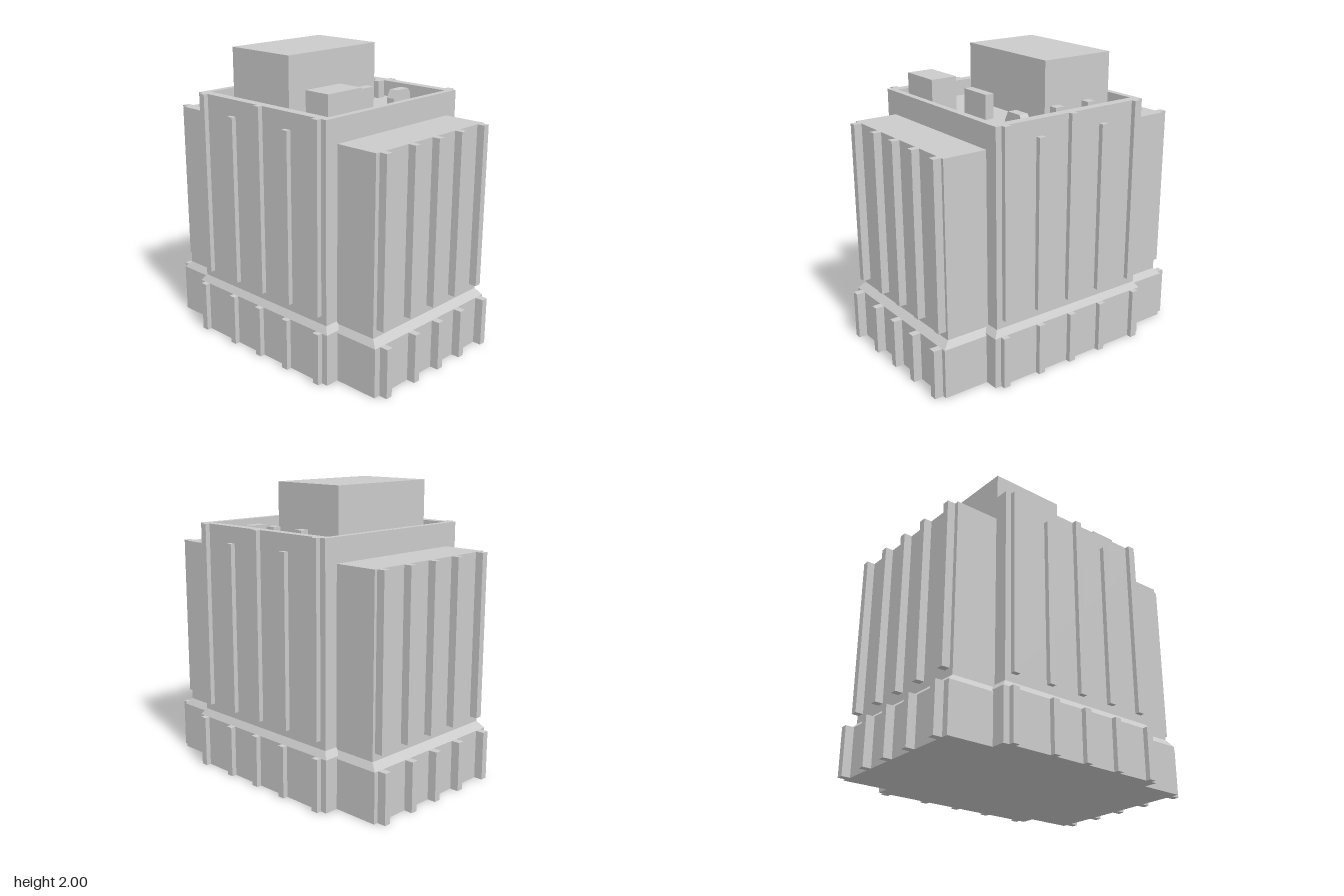
import * as THREE from 'three';

const material = new THREE.MeshStandardMaterial({ color: 0xcccccc, flatShading: true });

export function createModel() {
  const model = new THREE.Group();

  function add(name, geometry) {
    const mesh = new THREE.Mesh(geometry, material);
    mesh.name = name;
    model.add(mesh);
    return mesh;
  }

  // Box given by its limits on each axis
  function box(name, x0, x1, y0, y1, z0, z1) {
    const geo = new THREE.BoxGeometry(x1 - x0, y1 - y0, z1 - z0);
    geo.translate((x0 + x1) / 2, (y0 + y1) / 2, (z0 + z1) / 2);
    return add(name, geo);
  }

  // Centred block whose top rectangle is narrower than its bottom one
  function taper(name, x, z, topX, topZ, y0, y1) {
    const geo = new THREE.BoxGeometry(2 * x, y1 - y0, 2 * z);
    geo.translate(0, (y0 + y1) / 2, 0);
    const p = geo.attributes.position;
    for (let i = 0; i < p.count; i++) {
      if (p.getY(i) > (y0 + y1) / 2) {
        p.setX(i, Math.sign(p.getX(i)) * topX);
        p.setZ(i, Math.sign(p.getZ(i)) * topZ);
      }
    }
    geo.computeVertexNormals();
    return add(name, geo);
  }

  // Plinth: two crossing blocks, each with a sloped ledge
  box('centrePlinth', -0.625, 0.625, 0, 0.35, -0.655, 0.655);
  taper('centreLedge', 0.625, 0.655, 0.592, 0.627, 0.35, 0.395);
  box('wingPlinth', -0.94, 0.94, 0, 0.335, -0.56, 0.56);
  taper('wingLedge', 0.94, 0.56, 0.895, 0.53, 0.335, 0.38);

  // Main walls
  const roofY = 1.6, parapetY = 1.71;
  box('centreBlock', -0.592, 0.592, 0.395, roofY, -0.627, 0.627);
  for (const s of [-1, 1]) {
    const [a, b] = s < 0 ? [-0.895, -0.59] : [0.59, 0.895];
    box(s < 0 ? 'rightWing' : 'leftWing', a, b, 0.38, 1.55, -0.53, 0.53);
  }

  // Parapet around the sunken roof
  const rect = (Path, x, z) => new Path([
    new THREE.Vector2(-x, -z), new THREE.Vector2(x, -z),
    new THREE.Vector2(x, z), new THREE.Vector2(-x, z),
  ]);
  const rim = rect(THREE.Shape, 0.592, 0.627);
  rim.holes.push(rect(THREE.Path, 0.548, 0.562));
  const parapet = new THREE.ExtrudeGeometry(rim, { depth: parapetY - roofY, bevelEnabled: false });
  parapet.rotateX(-Math.PI / 2).translate(0, roofY, 0);
  add('parapet', parapet);

  // Vertical ribs on front and back
  const h = 0.024;
  [-0.525, -0.245, 0.012, 0.265, 0.525].forEach((x, i) => {
    const top = i % 2 ? 1.6 : parapetY;
    const bx = [-0.557, -0.247, 0.012, 0.272, 0.557][i];
    for (const s of [-1, 1]) {
      const span = (a, b) => (s < 0 ? [-b, -a] : [a, b]);
      box('wallRib', x - h, x + h, 0.45, top, ...span(0.6, 0.66));
      box('plinthRib', bx - h, bx + h, 0, 0.35, ...span(0.63, 0.69));
    }
  });

  // Vertical ribs on the wing ends
  [-0.485, -0.245, -0.015, 0.215, 0.475].forEach((z, i) => {
    const bz = [-0.505, -0.253, -0.02, 0.22, 0.49][i];
    for (const s of [-1, 1]) {
      const span = (a, b) => (s < 0 ? [-b, -a] : [a, b]);
      box('wingRib', ...span(0.87, 0.95), 0.43, 1.55, z - h, z + h);
      box('wingPlinthRib', ...span(0.92, 1), 0, 0.335, bz - h, bz + h);
    }
  });

  // Rooftop structures
  box('roofTower', -0.49, 0.05, roofY, 2, -0.41, 0.41);
  box('stairHouse', 0.305, 0.495, roofY, 1.83, 0.21, 0.51);
  box('longVent', 0.238, 0.302, roofY, 1.765, -0.12, 0.12);
  box('smallVent', -0.275, -0.215, roofY, 1.72, -0.52, -0.46);
  box('smallVent', -0.022, 0.048, roofY, 1.72, -0.52, -0.46);

  // Duct with sloped ends, drawn in side profile
  const profile = new THREE.Shape([
    [0.33, 0], [0.5, 0], [0.5, 0.07], [0.475, 0.105], [0.36, 0.105], [0.33, 0.05],
  ].map(([a, b]) => new THREE.Vector2(a, b)));
  const duct = new THREE.ExtrudeGeometry(profile, { depth: 0.064, bevelEnabled: false });
  duct.rotateY(Math.PI / 2).translate(0.238, roofY, 0);
  add('roofDuct', duct);

  return model;
}
